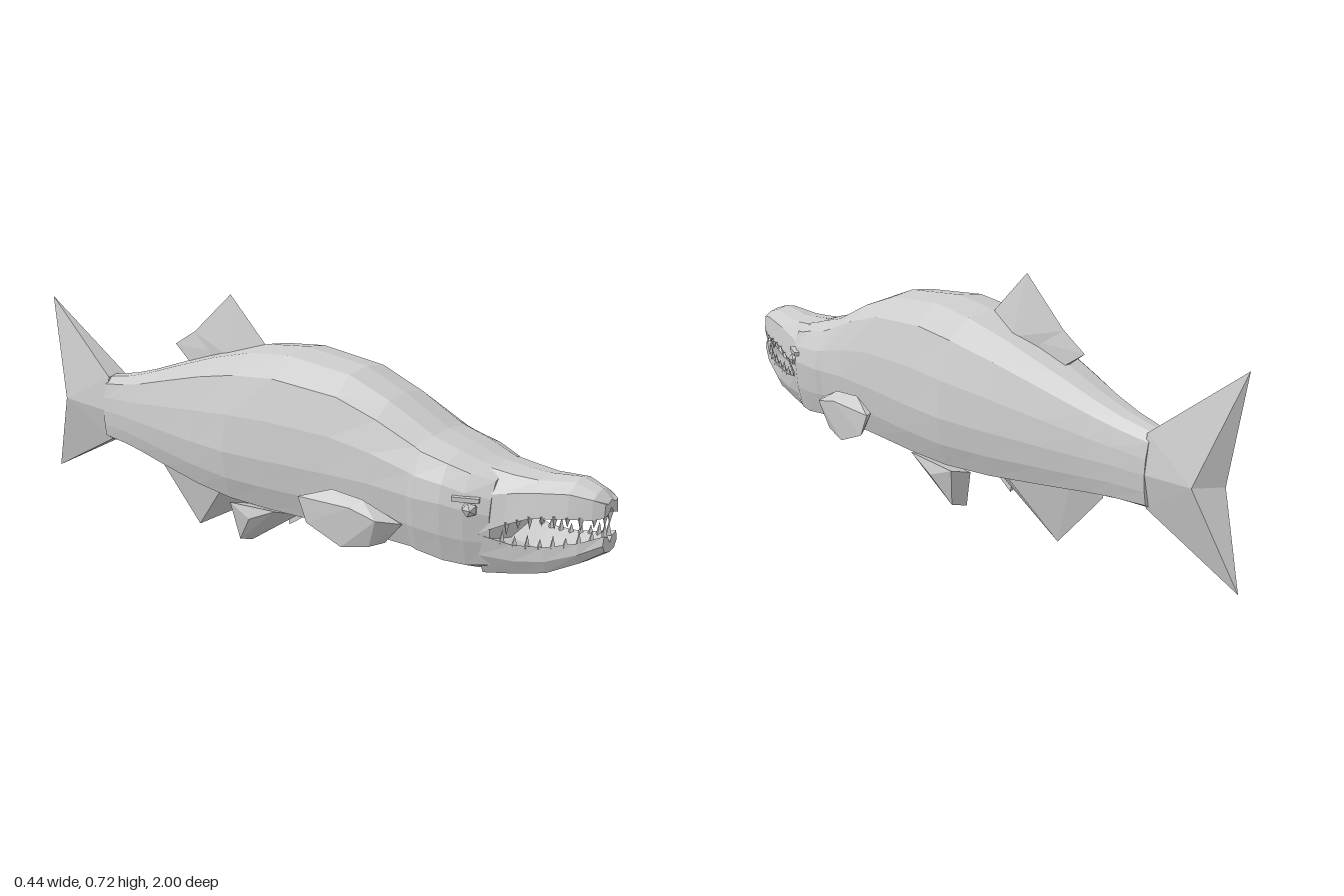
import * as THREE from 'three';
import { ConvexGeometry } from 'three/addons/geometries/ConvexGeometry.js';

const skin = new THREE.MeshStandardMaterial({ color: 0xcccccc, flatShading: true, side: THREE.DoubleSide });

function add(parent, name, geometry) {
  const mesh = new THREE.Mesh(geometry, skin);
  mesh.name = name;
  parent.add(mesh);
  return mesh;
}

// Skin a list of sections, ordered front to back. Each section is a z and a half
// outline running from top centre, down the +x side, to bottom centre.
function loft(sections) {
  const rings = sections.map(({ z, half }) => [
    ...half.map(([x, y]) => [x, y, z]),
    ...half.slice(1, -1).reverse().map(([x, y]) => [-x, y, z]),
  ]);
  const out = [];
  const n = rings[0].length;
  const centre = (r) => [0, r.reduce((s, p) => s + p[1], 0) / n, r[0][2]];
  const front = rings[0], back = rings[rings.length - 1];
  for (let j = 0; j < n; j++) {
    const k = (j + 1) % n;
    for (let i = 0; i < rings.length - 1; i++) {
      const a = rings[i], b = rings[i + 1];
      out.push(a[j], a[k], b[j], a[k], b[k], b[j]);
    }
    out.push(centre(front), front[k], front[j], centre(back), back[j], back[k]);
  }
  const g = new THREE.BufferGeometry();
  g.setAttribute('position', new THREE.Float32BufferAttribute(out.flat(), 3));
  g.computeVertexNormals();
  return g;
}

const hull = (points) => new ConvexGeometry(points.map((p) => new THREE.Vector3(...p)));
const mirrored = (points) => [...points, ...points.map(([x, y, z]) => [-x, y, z])];

// Rounded body outline, as fractions of half width and of height above or below mid
const outline = [[0, 1], [0.43, 0.96], [0.77, 0.77], [0.94, 0.38], [1, 0], [0.95, -0.45], [0.83, -0.83], [0.43, -0.95], [0, -1]];
function bodySection([z, w, top, mid, bottom]) {
  return { z, half: outline.map(([u, v]) => [u * w, mid + v * (v > 0 ? top - mid : mid - bottom)]) };
}

function upperJawSection([z, top, crown, w, lip]) {
  return { z, half: [[0, top], [crown, top - 0.008], [w * 0.9, (top + lip) / 2 + 0.015], [w, lip], [w - 0.02, lip + 0.005], [0, lip + 0.02]] };
}

function lowerJawSection([z, rim, w, bottom, base]) {
  return { z, half: [[0, rim - 0.03], [w - 0.02, rim - 0.008], [w, rim], [(w + base) / 2 + 0.008, (rim + bottom) / 2], [base, bottom + 0.005], [0, bottom]] };
}

// Row of pointed teeth along one side of a jaw, pointing up (1) or down (-1)
function teeth(parent, name, points, count, dir) {
  const path = new THREE.CatmullRomCurve3(points.map((p) => new THREE.Vector3(...p)));
  for (const side of [1, -1]) {
    for (let i = 0; i < count; i++) {
      const p = path.getPointAt(i / (count - 1));
      const h = i % 2 ? 0.026 : 0.036;
      const tooth = add(parent, name, new THREE.ConeGeometry(0.009, h, 4));
      tooth.position.set(side * p.x, p.y + dir * h * 0.35, p.z);
      if (dir < 0) tooth.rotation.x = Math.PI;
    }
  }
}

export function createModel() {
  const fish = new THREE.Group();
  fish.name = 'fish';

  // Body: z, half width, top, mid, bottom
  add(fish, 'body', loft([
    [0.72, 0.112, 0.41, 0.30, 0.138],
    [0.66, 0.143, 0.425, 0.31, 0.128],
    [0.60, 0.162, 0.445, 0.32, 0.13],
    [0.52, 0.167, 0.468, 0.32, 0.143],
    [0.50, 0.162, 0.478, 0.32, 0.147],
    [0.38, 0.17, 0.54, 0.33, 0.15],
    [0.25, 0.174, 0.592, 0.33, 0.15],
    [0.04, 0.19, 0.616, 0.33, 0.152],
    [-0.10, 0.196, 0.602, 0.33, 0.158],
    [-0.25, 0.166, 0.562, 0.325, 0.166],
    [-0.42, 0.125, 0.505, 0.32, 0.185],
    [-0.55, 0.09, 0.46, 0.315, 0.2],
    [-0.63, 0.073, 0.437, 0.315, 0.208],
    [-0.73, 0.052, 0.418, 0.31, 0.212],
  ].map(bodySection)));

  // Head: open mouth between two jaws
  const head = new THREE.Group();
  head.name = 'head';
  fish.add(head);
  add(head, 'upperJaw', loft([
    [0.995, 0.375, 0.018, 0.034, 0.335],
    [0.97, 0.398, 0.028, 0.052, 0.328],
    [0.915, 0.417, 0.034, 0.073, 0.325],
    [0.82, 0.408, 0.05, 0.09, 0.31],
    [0.755, 0.411, 0.06, 0.102, 0.282],
    [0.69, 0.418, 0.065, 0.122, 0.25],
  ].map(upperJawSection)));
  add(head, 'lowerJaw', loft([
    [0.995, 0.288, 0.03, 0.24, 0.024],
    [0.94, 0.265, 0.058, 0.205, 0.046],
    [0.86, 0.243, 0.082, 0.166, 0.066],
    [0.78, 0.235, 0.098, 0.147, 0.074],
    [0.69, 0.25, 0.122, 0.132, 0.085],
  ].map(lowerJawSection)));
  teeth(head, 'upperTooth', [[0.012, 0.335, 0.985], [0.045, 0.328, 0.968], [0.066, 0.325, 0.915], [0.083, 0.31, 0.82], [0.094, 0.285, 0.76]], 9, -1);
  teeth(head, 'lowerTooth', [[0.01, 0.285, 0.985], [0.05, 0.263, 0.94], [0.074, 0.241, 0.86], [0.09, 0.235, 0.78], [0.097, 0.238, 0.75]], 9, 1);

  for (const side of [1, -1]) {
    // Eyes with a brow, and nostrils
    const eye = add(head, 'eye', new THREE.IcosahedronGeometry(0.022, 0));
    eye.position.set(side * 0.132, 0.315, 0.675);
    const brow = add(head, 'brow', new THREE.BoxGeometry(0.025, 0.012, 0.07));
    brow.position.set(side * 0.135, 0.34, 0.665);
    brow.rotation.y = -side * 0.4;
    const nostril = add(head, 'nostril', new THREE.ConeGeometry(0.011, 0.016, 5));
    nostril.position.set(side * 0.058, 0.376, 0.915);
    nostril.rotation.z = -side * 0.9;

    // Paired fins
    const flip = (points) => points.map(([x, y, z]) => [side * x, y, z]);
    add(fish, 'pectoralFin', hull(flip([
      [0.16, 0.24, 0.49], [0.165, 0.18, 0.44], [0.21, 0.25, 0.44], [0.195, 0.17, 0.41],
      [0.185, 0.29, 0.38], [0.185, 0.298, 0.28], [0.21, 0.155, 0.33], [0.218, 0.2, 0.22],
      [0.218, 0.268, 0.19], [0.195, 0.268, 0.2], [0.175, 0.2, 0.26], [0.215, 0.27, 0.36],
    ])));
    add(fish, 'pelvicFin', hull(flip([
      [0.085, 0.155, 0.08], [0.16, 0.18, 0.06], [0.082, 0.044, -0.09], [0.136, 0.06, -0.09],
      [0.166, 0.14, -0.03], [0.085, 0.15, -0.11], [0.155, 0.17, -0.11],
    ])));
  }

  // Dorsal fin with its small rear lobe
  add(fish, 'dorsalFin', hull([
    [0, 0.59, -0.1], [0.035, 0.555, -0.22], [-0.035, 0.555, -0.22],
    [0, 0.727, -0.24], [0, 0.598, -0.385], [0, 0.5, -0.38],
  ]));
  add(fish, 'dorsalFinLobe', hull([
    [0.02, 0.555, -0.26], [-0.02, 0.555, -0.26], [0, 0.605, -0.375],
    [0, 0.552, -0.462], [0.012, 0.497, -0.38], [-0.012, 0.497, -0.38],
  ]));

  // Anal fin
  add(fish, 'analFin', hull([
    [0, 0.165, -0.08], ...mirrored([[0.06, 0.175, -0.22], [0.03, 0.21, -0.45]]),
    [0, 0.005, -0.375], [0, 0.18, -0.54], [0, 0.22, -0.55],
  ]));

  // Tail: two lobes meeting at a notch
  const tailRoot = mirrored([[0.05, 0.31, -0.72], [0.06, 0.325, -0.89]]);
  add(fish, 'upperTailLobe', hull([
    ...tailRoot, ...mirrored([[0.035, 0.415, -0.72]]), [0, 0.33, -0.945], [0, 0.63, -1],
  ]));
  add(fish, 'lowerTailLobe', hull([
    ...tailRoot, ...mirrored([[0.03, 0.215, -0.72]]), [0, 0.33, -0.945], [0, 0.07, -1],
  ]));

  return fish;
}
